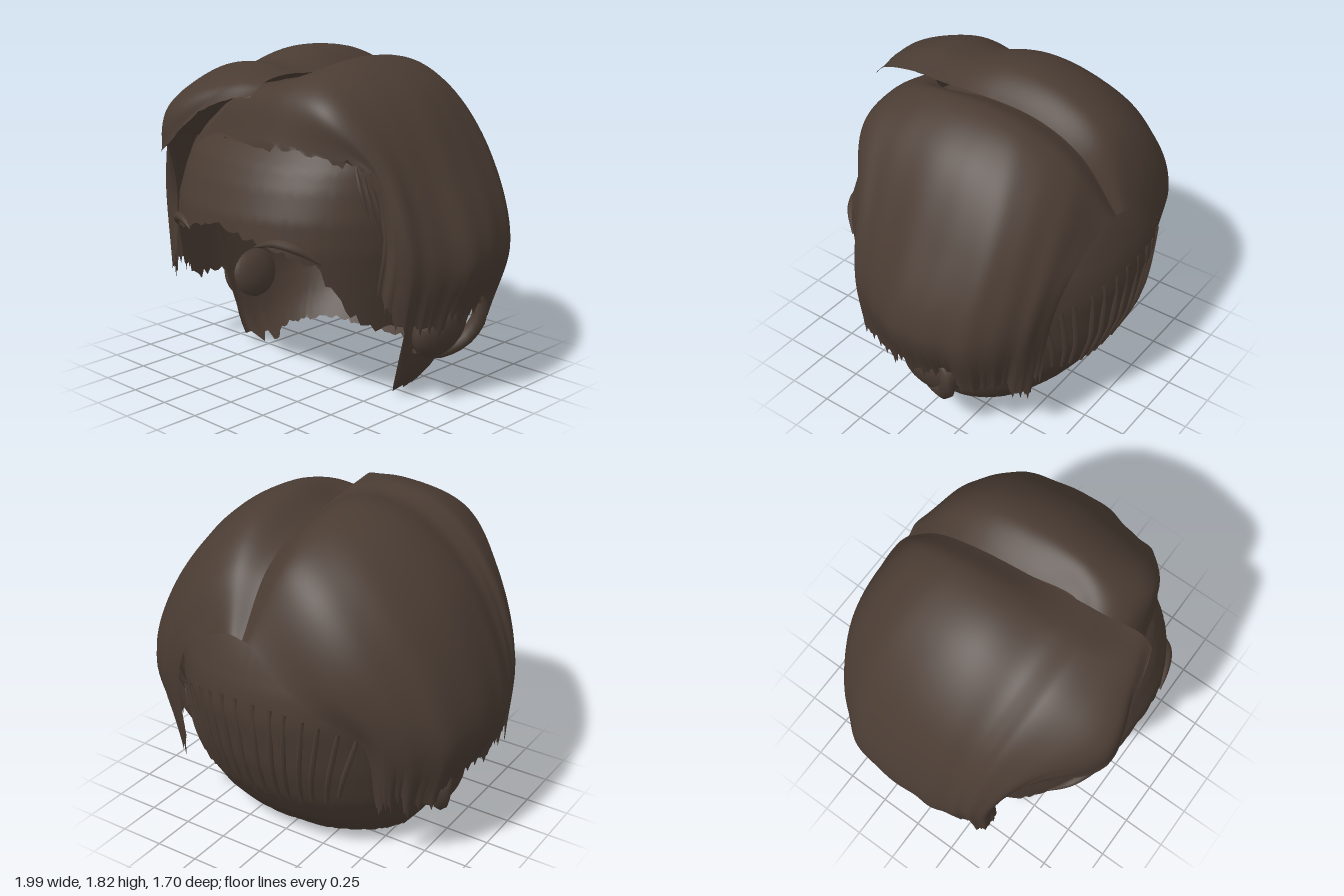
import * as THREE from 'three';

const hairMaterial = new THREE.MeshStandardMaterial({ color: 0x4a3c33, side: THREE.DoubleSide });
const V = (x, y, z) => new THREE.Vector3(x, y, z);
const hash = (n) => { const v = Math.sin(n * 127.1) * 43758.5453; return v - Math.floor(v); };

// linear interpolation through rows of [key, value, value...]
function sample(rows, k, i) {
  if (k <= rows[0][0]) return rows[0][i];
  for (let n = 1; n < rows.length; n++) {
    const a = rows[n - 1], b = rows[n];
    if (k <= b[0]) return a[i] + (b[i] - a[i]) * (k - a[0]) / (b[0] - a[0]);
  }
  return rows[rows.length - 1][i];
}

// smooth sheet from a function of u and v in 0..1
function sheet(name, nu, nv, f) {
  const pos = [], idx = [];
  for (let i = 0; i <= nu; i++) {
    for (let j = 0; j <= nv; j++) pos.push(...f(i / nu, j / nv, i, j).toArray());
  }
  for (let i = 0; i < nu; i++) {
    for (let j = 0; j < nv; j++) {
      const a = i * (nv + 1) + j, b = a + nv + 1;
      idx.push(a, a + 1, b, b, a + 1, b + 1);
    }
  }
  const g = new THREE.BufferGeometry();
  g.setAttribute('position', new THREE.Float32BufferAttribute(pos, 3));
  g.setIndex(idx);
  g.computeVertexNormals();
  const m = new THREE.Mesh(g, hairMaterial);
  m.name = name;
  return m;
}

// skull levels: y, half width, front depth, back depth
const LEVELS = [
  [0, 0.53, 0.81, 0.41], [0.1, 0.61, 0.81, 0.5], [0.2, 0.655, 0.81, 0.59], [0.4, 0.7, 0.81, 0.73],
  [0.6, 0.72, 0.81, 0.805], [0.9, 0.75, 0.82, 0.85], [1.05, 0.75, 0.8, 0.835], [1.2, 0.73, 0.745, 0.785],
  [1.3, 0.71, 0.69, 0.735], [1.4, 0.66, 0.6, 0.66], [1.5, 0.57, 0.5, 0.56], [1.6, 0.42, 0.36, 0.4], [1.67, 0, 0, 0],
];
// lower edge of the scalp by angle from the front
const EDGE = [
  [0, 0.99], [0.35, 0.93], [0.72, 0.86], [0.85, 0.74], [1.0, 0.58], [1.15, 0.49],
  [1.45, 0.46], [1.49, 0.05], [1.75, 0.03], [1.95, 0.07], [2.3, 0.09], [3.15, 0.09],
];

// point on the skull at angle a (0 = front) and height y
function skull(a, y, grow = 1) {
  const s = Math.sin(a), c = Math.cos(a);
  const x = sample(LEVELS, y, 1) * Math.sign(s) * Math.abs(s) ** 0.9;
  const z = sample(LEVELS, y, c > 0 ? 2 : 3) * Math.sign(c) * Math.abs(c) ** 0.8;
  return V(x * grow, y, z * grow);
}

// hair lobe: a net of sections (front to back), each from parting to hem
function lobe(name, net, seed, fray) {
  const rails = net[0].map((_, k) => new THREE.CatmullRomCurve3(net.map((sec) => V(...sec[k]))));
  const centre = V(0, 0.9, 0);
  const cols = 120;
  const strips = [];
  for (let i = 0; i <= cols; i++) strips.push(new THREE.CatmullRomCurve3(rails.map((r) => r.getPoint(i / cols))));
  return sheet(name, cols, 48, (u, v, i, j) => {
    const p = strips[i].getPoint(v);
    // soft lock grooves growing toward the hem
    const wave = 0.006 * Math.sin(u * 58 + seed) + 0.009 * Math.sin(u * 27 + seed * 2);
    p.sub(centre).multiplyScalar(1 + wave * v * v - 0.004 * v).add(centre);
    // ragged ends
    const rag = Math.max(0, (v - 0.8) / 0.2) ** 2;
    p.y += rag * ((hash(Math.floor(i / 5) + seed) - 0.5) * 0.12 + (i % 5 === 2 ? -0.03 : 0.01));
    // frayed hairline
    if (i === 0) p.y += (hash(j) - 0.5) * fray;
    return p;
  });
}

// tube whose thickness fades toward both ends
function taperedTube(name, points, radius, blunt) {
  const curve = new THREE.CatmullRomCurve3(points);
  const n = 14, sides = 7;
  const frames = curve.computeFrenetFrames(n, false);
  return sheet(name, n, sides, (u, v, i) => {
    const r = radius * (blunt + (1 - blunt) * Math.sin(Math.PI * u));
    const a = v * Math.PI * 2;
    return curve.getPointAt(u)
      .addScaledVector(frames.normals[i], Math.cos(a) * r)
      .addScaledVector(frames.binormals[i], Math.sin(a) * r);
  });
}

const LEFT_NET = [
  [[-0.44, 1.34, 0.56], [0.18, 1.4, 0.63], [0.5, 1.36, 0.55], [0.68, 1.31, 0.43], [0.75, 1.0, 0.39], [0.74, 0.72, 0.42]],
  [[-0.12, 1.62, 0.5], [0.26, 1.66, 0.53], [0.5, 1.59, 0.52], [0.73, 1.32, 0.39], [0.83, 0.95, 0.36], [0.8, 0.53, 0.36]],
  [[0.13, 1.7, 0.3], [0.3, 1.785, 0.25], [0.55, 1.66, 0.24], [0.79, 1.28, 0.2], [0.93, 0.82, 0.18], [0.86, 0.5, 0.17]],
  [[0.1, 1.72, 0], [0.3, 1.8, -0.1], [0.56, 1.67, -0.13], [0.82, 1.28, -0.14], [1.0, 0.82, -0.12], [0.89, 0.48, -0.1]],
  [[0.08, 1.68, -0.3], [0.28, 1.75, -0.35], [0.5, 1.62, -0.42], [0.75, 1.28, -0.46], [0.92, 0.82, -0.43], [0.82, 0.43, -0.38]],
  [[0.07, 1.56, -0.54], [0.22, 1.6, -0.58], [0.4, 1.48, -0.63], [0.6, 1.22, -0.65], [0.74, 0.85, -0.63], [0.68, 0.4, -0.54]],
  [[0.06, 1.28, -0.76], [0.13, 1.3, -0.77], [0.25, 1.26, -0.76], [0.42, 1.15, -0.75], [0.54, 0.9, -0.71], [0.56, 0.42, -0.65]],
];
const RIGHT_NET = [
  [[0.16, 1.66, 0.72], [-0.1, 1.585, 0.79], [-0.39, 1.33, 0.84], [-0.65, 1.27, 0.6], [-0.77, 1.0, 0.45], [-0.79, 0.6, 0.44]],
  [[0.17, 1.72, 0.64], [-0.02, 1.7, 0.71], [-0.36, 1.56, 0.81], [-0.68, 1.36, 0.58], [-0.85, 1.0, 0.46], [-0.85, 0.54, 0.43]],
  [[0.14, 1.74, 0.45], [-0.1, 1.78, 0.47], [-0.4, 1.71, 0.46], [-0.73, 1.42, 0.4], [-0.92, 0.98, 0.36], [-0.89, 0.5, 0.36]],
  [[0.13, 1.73, 0.29], [-0.1, 1.77, 0.3], [-0.4, 1.69, 0.3], [-0.74, 1.39, 0.27], [-0.96, 0.85, 0.24], [-0.9, 0.48, 0.23]],
  [[0.1, 1.72, 0], [-0.1, 1.82, 0], [-0.4, 1.76, 0], [-0.77, 1.42, 0], [-1.0, 0.82, 0], [-0.9, 0.47, 0]],
  [[0.08, 1.68, -0.3], [-0.1, 1.78, -0.32], [-0.4, 1.67, -0.4], [-0.71, 1.35, -0.44], [-0.94, 0.82, -0.4], [-0.85, 0.44, -0.36]],
  [[0.07, 1.56, -0.54], [-0.08, 1.64, -0.58], [-0.32, 1.51, -0.66], [-0.57, 1.22, -0.69], [-0.76, 0.85, -0.61], [-0.72, 0.42, -0.52]],
  [[0.06, 1.28, -0.76], [0, 1.28, -0.78], [-0.16, 1.17, -0.81], [-0.37, 1.02, -0.79], [-0.6, 0.82, -0.66], [-0.63, 0.45, -0.58]],
];

// ear: cupped shell with a curled rim and lobe
function ear(side) {
  const g = new THREE.Group();
  g.name = side > 0 ? 'leftEar' : 'rightEar';
  const shell = new THREE.Mesh(new THREE.SphereGeometry(1, 24, 16), hairMaterial);
  shell.name = 'earShell';
  shell.scale.set(0.1, 0.17, 0.19);
  shell.position.set(side * 0.74, 0.39, -0.08);
  shell.rotation.z = side * -0.25;
  const rim = [[0.8, 0.44, -0.16], [0.83, 0.54, -0.2], [0.85, 0.56, -0.25], [0.86, 0.45, -0.27], [0.81, 0.32, -0.21], [0.74, 0.26, -0.06], [0.7, 0.3, 0.07]];
  g.add(shell, taperedTube('earRim', rim.map(([x, y, z]) => V(side * x, y, z)), 0.045, 0.6));
  return g;
}

export function createModel() {
  const model = new THREE.Group();
  model.name = 'hairpiece';

  // scalp with open face and ragged lower edge
  model.add(sheet('scalp', 160, 30, (u, v, i) => {
    const a = (u - 0.5) * Math.PI * 2;
    const rag = (hash(i % 160) - 0.5) * (Math.abs(a) > 0.6 && Math.abs(a) < 1.8 ? 0.08 : 0.03);
    const low = Math.max(0, sample(EDGE, Math.abs(a), 1) + rag);
    return skull(a, 1.67 + (low - 1.67) * v);
  }));

  model.add(lobe('leftHair', LEFT_NET, 1, 0.06), lobe('rightHair', RIGHT_NET, 4, 0.015));

  for (const side of [1, -1]) {
    model.add(ear(side));
    // brow
    const brow = [[0.3, 0.92], [0.45, 0.95], [0.62, 0.925], [0.8, 0.85]];
    model.add(taperedTube('brow', brow.map(([a, y]) => skull(side * a, y, 1.005)), 0.028, 0.15));
    // temple strands
    for (let i = 0; i < 4; i++) {
      const a = side * (0.98 + i * 0.07);
      const path = [0, 0.5, 1].map((t) => skull(a + side * t * 0.12, 1.32 - i * 0.05 - t * 0.24, 1.01));
      model.add(taperedTube('templeStrand', path, 0.012, 0.6));
    }
  }

  // fan of thin strands on the nape
  for (let i = 0; i < 14; i++) {
    const b = (i - 6.5) * 0.118 + (hash(i) - 0.5) * 0.05;
    const top = 0.99 - 0.25 * b * b, end = 0.34 + 0.17 * b * b + hash(i + 9) * 0.04;
    const path = [0, 0.33, 0.66, 1].map((t) => skull(Math.PI - b * (1 - 0.2 * t), top + (end - top) * t));
    model.add(taperedTube('napeStrand', path, 0.016, 0.75));
  }
  return model;
}
